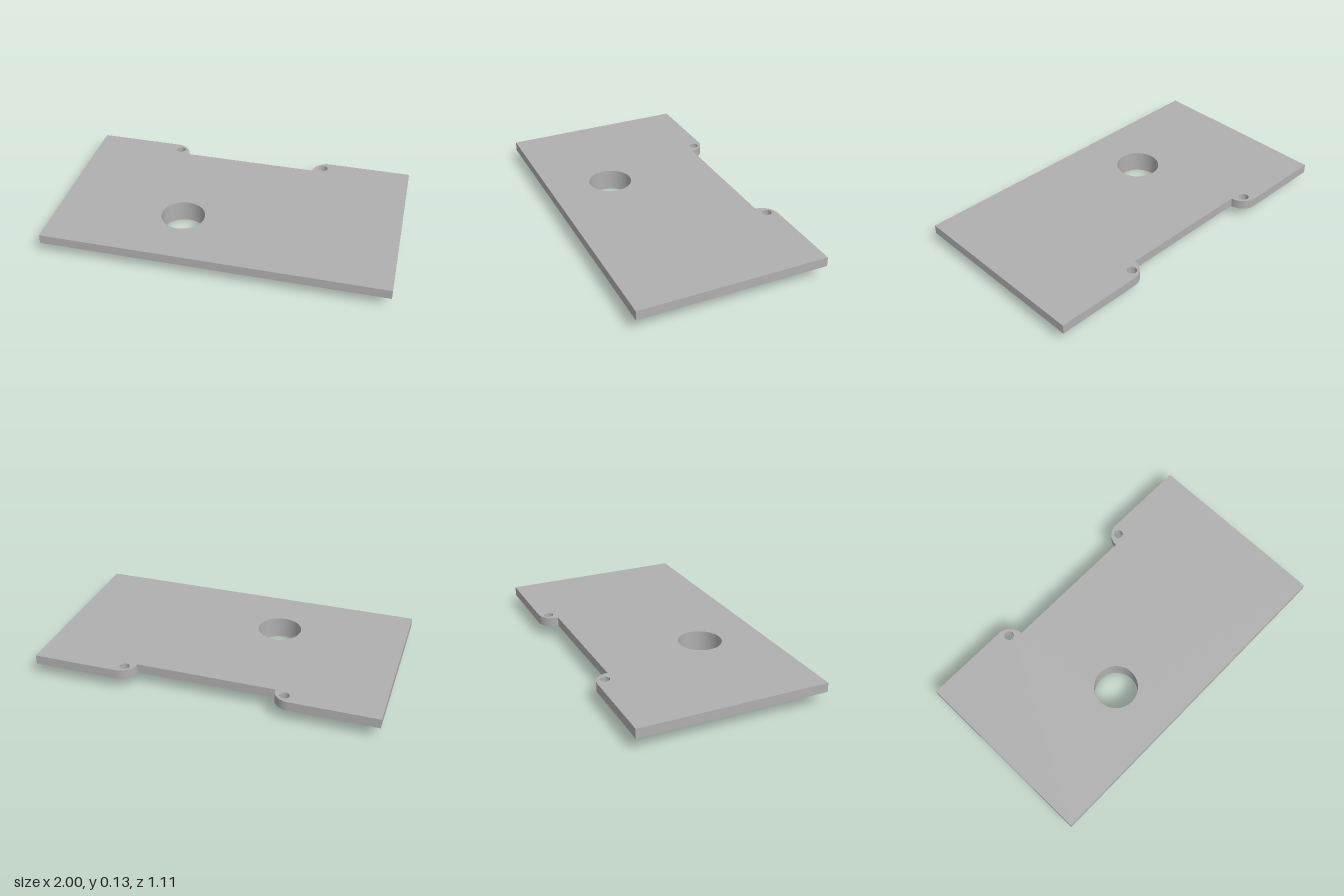
import * as THREE from 'three';
import { toCreasedNormals } from 'three/addons/utils/BufferGeometryUtils.js';

const BORE = { x: -0.255, z: 0.18, r: 0.128 };

export function createModel() {
  const group = new THREE.Group();
  const grey = new THREE.MeshStandardMaterial({ color: 0xb0b0b0 });
  grey.name = 'plain grey';

  // Round through hole; shapes are drawn in x and -z
  const hole = (x, z, r) => new THREE.Path().absarc(x, -z, r, 0, Math.PI * 2, true);

  // Stand a flat shape up as a slab from y0 to y1
  function slab(name, shape, y0, y1) {
    const flat = new THREE.ExtrudeGeometry(shape, { depth: y1 - y0, bevelEnabled: false, curveSegments: 32 });
    flat.rotateX(-Math.PI / 2).translate(0, y0, 0);
    const mesh = new THREE.Mesh(toCreasedNormals(flat, 0.5), grey);
    mesh.name = name;
    group.add(mesh);
  }

  // Plate with a rear notch between two rounded ears
  const back = 0.555, notchX = 0.405, notchDepth = 0.095;
  const earX = notchX + notchDepth, notchY = back - notchDepth;
  const plate = new THREE.Shape();
  plate.moveTo(-1, -back);
  plate.lineTo(1, -back);
  plate.lineTo(1, back);
  plate.lineTo(earX, back);
  plate.absarc(earX, notchY, notchDepth, Math.PI / 2, Math.PI, false);
  plate.lineTo(-notchX, notchY);
  plate.absarc(-earX, notchY, notchDepth, 0, Math.PI / 2, false);
  plate.lineTo(-1, back);
  plate.closePath();
  plate.holes.push(hole(BORE.x, BORE.z, BORE.r));
  for (const side of [-1, 1]) plate.holes.push(hole(side * 0.467, -0.5, 0.028));
  slab('plate', plate, 0.073, 0.128);

  // Square boss below the plate, sharing the large bore
  const half = 0.25;
  const boss = new THREE.Shape();
  boss.moveTo(BORE.x - half, -BORE.z - half);
  boss.lineTo(BORE.x + half, -BORE.z - half);
  boss.lineTo(BORE.x + half, -BORE.z + half);
  boss.lineTo(BORE.x - half, -BORE.z + half);
  boss.closePath();
  boss.holes.push(hole(BORE.x, BORE.z, BORE.r));
  slab('squareBoss', boss, 0, 0.073);

  return group;
}
